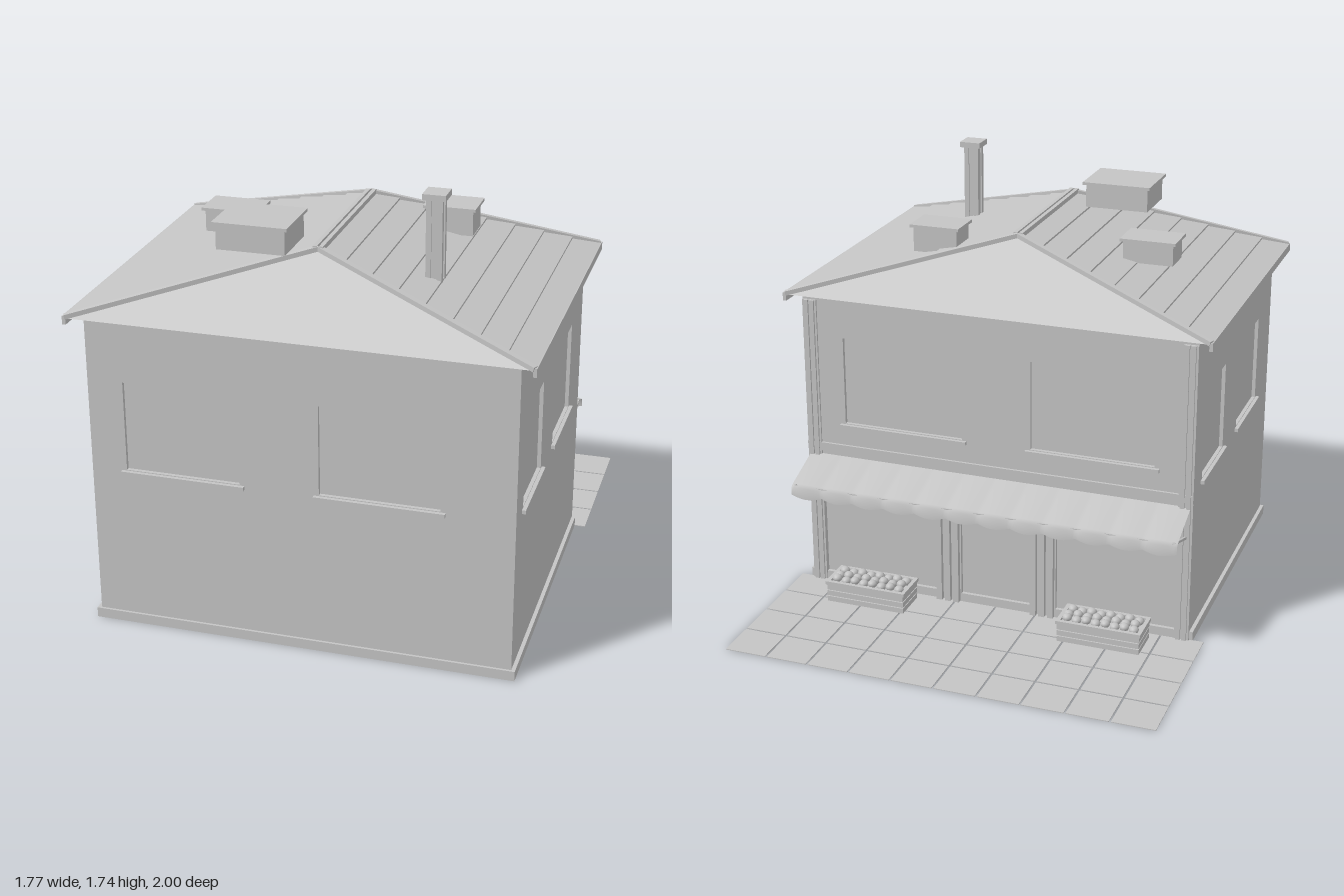
import * as THREE from 'three';

const plaster = new THREE.MeshStandardMaterial({ color: 0xc4c4c4 });
plaster.name = 'light grey';
const cloth = plaster.clone();
cloth.name = 'light grey cloth';
cloth.side = THREE.DoubleSide;

export function createModel() {
  const model = new THREE.Group();
  const add = (name, geo, mat = plaster, parent = model) => {
    const m = new THREE.Mesh(geo, mat);
    m.name = name;
    parent.add(m);
    return m;
  };
  // box given by its limits on each axis
  const box = (name, x0, x1, y0, y1, z0, z1, parent = model) => {
    const m = add(name, new THREE.BoxGeometry(x1 - x0, y1 - y0, z1 - z0), plaster, parent);
    m.position.set((x0 + x1) / 2, (y0 + y1) / 2, (z0 + z1) / 2);
    return m;
  };
  // square bar between two points, kept upright
  const bar = (name, a, b, w, h) => {
    const A = new THREE.Vector3(...a), B = new THREE.Vector3(...b);
    const m = add(name, new THREE.BoxGeometry(w, h, A.distanceTo(B)));
    m.position.copy(A).add(B).multiplyScalar(0.5);
    m.lookAt(B);
    return m;
  };

  // ---- walls with recessed windows and sills ----
  const T = 0.015, H = 1.27;
  box('houseCore', -0.805, 0.805, 0.002, H, -0.3, 0.925);
  box('plinth', -0.835, 0.835, 0, 0.04, -0.312, 0.95);
  const wall = (name, w, pos, rot, windows, openings = []) => {
    const g = new THREE.Group();
    g.name = name;
    const s = new THREE.Shape();
    s.moveTo(-w / 2, 0).lineTo(w / 2, 0).lineTo(w / 2, H).lineTo(-w / 2, H).closePath();
    for (const [x0, x1, y0, y1] of [...windows, ...openings]) {
      const h = new THREE.Path();
      h.moveTo(x0, y0).lineTo(x0, y1).lineTo(x1, y1).lineTo(x1, y0).closePath();
      s.holes.push(h);
    }
    const geo = new THREE.ExtrudeGeometry(s, { depth: T, bevelEnabled: false });
    add(name + 'Panel', geo.translate(0, 0, -T), plaster, g);
    for (const [x0, x1, y0] of windows) {
      box('windowSill', x0 - 0.02, x1 + 0.02, y0 - 0.018, y0 - 0.003, -0.01, 0.015, g);
    }
    g.position.set(...pos);
    g.rotation.y = rot;
    model.add(g);
  };
  const sideWindows = [[-0.51, -0.18, 0.66, 1.02], [0.05, 0.4, 0.66, 1.02]];
  wall('frontWall', 1.64, [0, 0, 0.94], 0, [[-0.68, -0.23, 0.66, 1.02], [0.08, 0.54, 0.66, 1.02]]);
  wall('leftWall', 1.255, [0.82, 0, 0.3125], Math.PI / 2, sideWindows);
  wall('rightWall', 1.255, [-0.82, 0, 0.3125], -Math.PI / 2, sideWindows);
  wall('shopWall', 1.64, [0, 0, -0.315], Math.PI,
    [[-0.65, -0.14, 0.73, 1.1], [0.15, 0.66, 0.73, 1.1]],
    [[-0.76, -0.26, 0.04, 0.54], [-0.15, 0.15, 0.04, 0.54], [0.26, 0.76, 0.04, 0.54]]);

  // ---- shop front trim ----
  box('shopLedge', -0.82, 0.82, 0.6, 0.635, -0.325, -0.31);
  for (const s of [-1, 1]) {
    for (const dx of [0.777, 0.802]) box('cornerPilaster', s * dx - 0.009, s * dx + 0.009, 0.005, 1.25, -0.33, -0.3);
    box('cornerPost', s * 0.79 - 0.03, s * 0.79 + 0.03, 0.005, 1.25, -0.322, -0.3);
    for (const dx of [0.168, 0.205, 0.242]) box('doorPilaster', s * dx - 0.012, s * dx + 0.012, 0.005, 0.56, -0.335, -0.3);
  }

  // ---- hip roof with stepped courses on the two long slopes ----
  const pos = [];
  const tri = (...p) => p.forEach(v => pos.push(...v));
  const quad = (flip, a, b, c, d) => (flip ? tri(a, c, b, a, d, c) : tri(a, b, c, a, c, d));
  const N = 8, STEP = 0.008;
  for (const s of [1, -1]) {
    const edge = (t, lift) => {
      const y = 1.515 - 0.24 * t + lift;
      return [[s * 0.88 * t, y, -0.04 - 0.32 * t], [s * 0.88 * t, y, 0.66 + 0.33 * t]];
    };
    for (let i = 0; i < N; i++) {
      const [a, b] = edge(i / N, 0), [d, c] = edge((i + 1) / N, STEP), [f, e] = edge((i + 1) / N, 0);
      quad(s < 0, a, b, c, d);
      quad(s < 0, d, c, e, f);
    }
  }
  const E = 1.275;
  tri([-0.88, E, 0.99], [0.88, E, 0.99], [0, 1.515, 0.66]);
  tri([0.88, E, -0.36], [-0.88, E, -0.36], [0, 1.515, -0.04]);
  quad(false, [-0.88, E, -0.36], [0.88, E, -0.36], [0.88, E, 0.99], [-0.88, E, 0.99]);
  const roof = new THREE.BufferGeometry();
  roof.setAttribute('position', new THREE.Float32BufferAttribute(pos, 3));
  roof.computeVertexNormals();
  add('hipRoof', roof);
  // ridge, hips and gutters
  for (const s of [-1, 1]) {
    box('ridgeCap', s * 0.012 - 0.008, s * 0.012 + 0.008, 1.505, 1.53, -0.04, 0.67);
    bar('frontHipCap', [0, 1.52, 0.66], [s * 0.875, 1.28, 0.985], 0.022, 0.018);
    bar('backHipCap', [0, 1.52, -0.04], [s * 0.875, 1.28, -0.357], 0.022, 0.018);
    box('gutter', s * 0.876 - 0.007, s * 0.876 + 0.007, 1.25, 1.283, -0.365, 0.99);
  }

  // ---- rooftop vents and chimney ----
  for (const [x0, x1, z0, z1, y0, y1] of [
    [-0.6, -0.37, 0.12, 0.28, 1.4, 1.498],
    [-0.385, -0.095, 0.49, 0.74, 1.502, 1.61],
    [0.245, 0.455, -0.065, 0.09, 1.412, 1.525]]) {
    box('roofVent', x0 + 0.012, x1 - 0.012, y0, y1 - 0.012, z0 + 0.012, z1 - 0.012);
    box('roofVentCap', x0, x1, y1 - 0.012, y1, z0, z1);
  }
  box('chimneyCore', 0.385, 0.435, 1.36, 1.715, 0.512, 0.564);
  for (const x of [0.389, 0.431]) for (const z of [0.516, 0.56]) {
    box('chimneyCorner', x - 0.01, x + 0.01, 1.36, 1.715, z - 0.01, z + 0.01);
  }
  box('chimneyCap', 0.367, 0.455, 1.712, 1.735, 0.493, 0.583);

  // ---- scalloped awning: rippled slope with a hanging valance ----
  const W = 144, WAVES = 12;
  const profile = [[-0.32, 0.585], [-0.5, 0.517], [-0.515, 0.505], [-0.518, 0.475]];
  const awning = new THREE.PlaneGeometry(1, 1, W, profile.length - 1);
  const p = awning.attributes.position;
  for (let j = 0; j < profile.length; j++) for (let i = 0; i <= W; i++) {
    const wave = Math.abs(Math.sin(Math.PI * WAVES * i / W)), out = j > 0 ? wave : 0;
    const drop = j === 3 ? 0.016 * wave : 0;
    p.setXYZ(j * (W + 1) + i, 0.81 - 1.62 * i / W, profile[j][1] - drop + 0.004 * (out - 0.5), profile[j][0] - 0.006 * out + 0.003);
  }
  awning.computeVertexNormals();
  add('awning', awning, cloth);
  for (const s of [-1, 1]) bar('awningStrut', [s * 0.795, 0.455, -0.325], [s * 0.795, 0.512, -0.505], 0.01, 0.01);
  bar('awningFrontRail', [-0.795, 0.508, -0.503], [0.795, 0.508, -0.503], 0.008, 0.008);

  // ---- planters with rounded planks and flowers ----
  const bloom = new THREE.IcosahedronGeometry(0.02, 1);
  for (const s of [-1, 1]) {
    const g = new THREE.Group();
    g.name = 'planter';
    g.position.set(s * 0.5, 0, -0.435);
    model.add(g);
    box('planterBody', -0.163, 0.163, 0.008, 0.085, -0.068, 0.068, g);
    for (let k = 0; k < 3; k++) {
      box('planterPlank', -0.169, 0.169, 0.01 + k * 0.026, 0.032 + k * 0.026, -0.074, 0.074, g);
    }
    for (const z of [-0.07, 0.07]) box('planterRim', -0.175, 0.175, 0.086, 0.1, z - 0.008, z + 0.008, g);
    for (const x of [-0.167, 0.167]) box('planterRimEnd', x - 0.008, x + 0.008, 0.086, 0.1, -0.07, 0.07, g);
    for (let i = 0; i < 8; i++) for (let j = 0; j < 3; j++) {
      const f = add('flower', bloom, plaster, g);
      f.position.set(-0.138 + i * 0.0394 + (j % 2) * 0.006, 0.097 + 0.006 * ((i + j) % 2), -0.038 + j * 0.038);
      f.scale.y = 0.85;
    }
  }

  // ---- paved forecourt ----
  const tileX = 0.176, tileZ = 0.176, gap = 0.008;
  for (let i = 0; i < 10; i++) for (let j = 0; j < 4; j++) {
    const x = -0.88 + i * tileX, z = -1 + j * tileZ;
    box('pavingSlab', x + (i ? gap / 2 : 0), x + tileX - (i < 9 ? gap / 2 : 0), 0, 0.003,
      z + (j ? gap / 2 : 0), Math.min(z + tileZ - gap / 2, -0.31));
  }
  return model;
}
